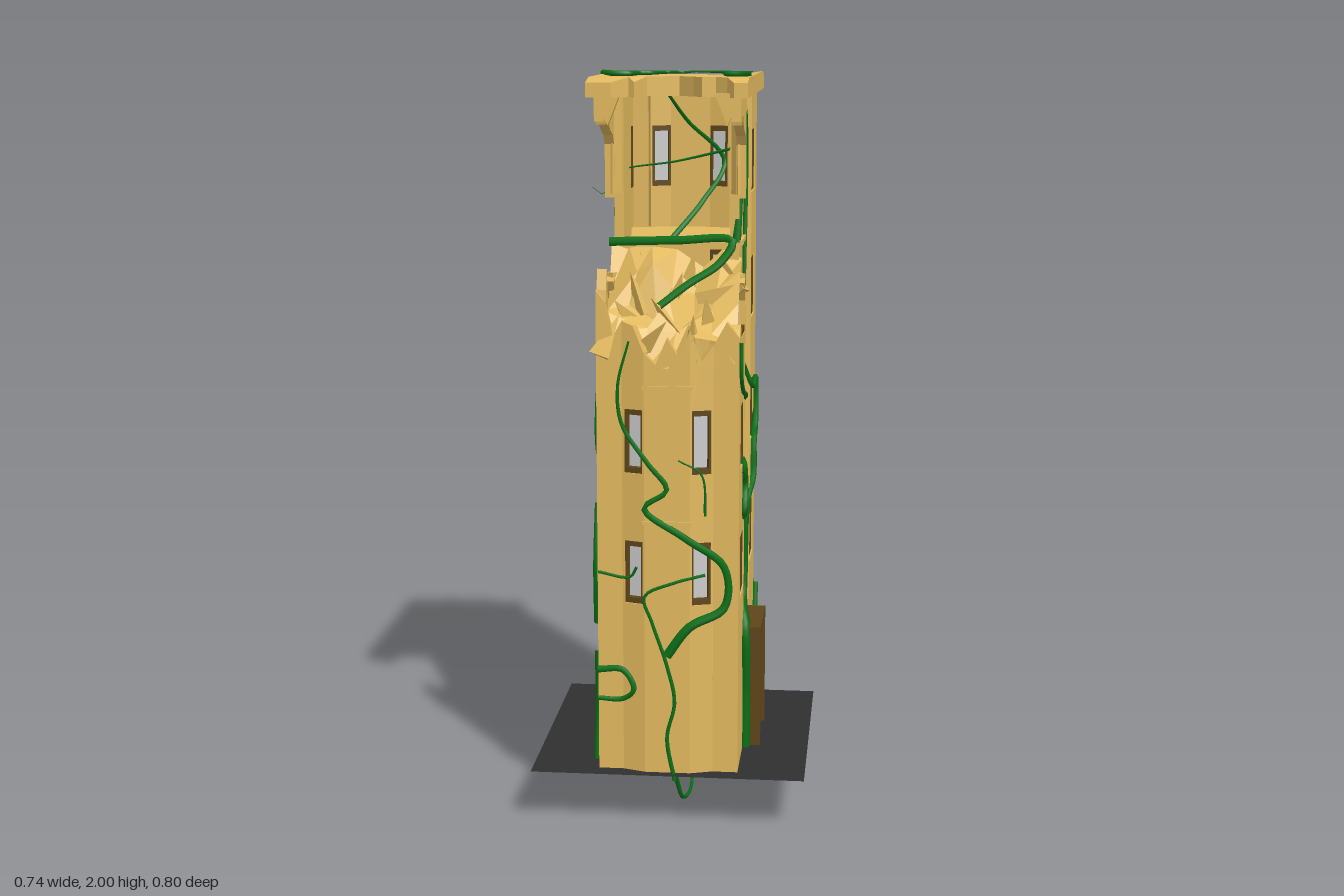
import * as THREE from 'three';

const mat = (color, extra = {}) => new THREE.MeshStandardMaterial({ color, ...extra });
const WALL = mat(0xe3ba5f, { flatShading: true, side: THREE.DoubleSide });
const FRAME = mat(0x5e4618, { flatShading: true });
const GLASS = mat(0xcccccc, { side: THREE.DoubleSide });
const VINE = mat(0x0d7018);
const GROUND = mat(0x303030, { side: THREE.DoubleSide });

const BASE = 0.15, TOP = 1.95, T = 0.025, CZ = 0.05;
const ROWS = [0.702, 1.055, 1.402, 1.752], WIN_H = 0.17;
const LEDGES = [0.84, 1.2, 1.55, 1.9];

// Seeded jitter in -1..1
let seed = 7;
const rnd = () => { seed = (seed * 16807) % 2147483647; return seed / 1073741823.5 - 1; };

function add(parent, geo, material, name) {
  const m = new THREE.Mesh(geo, material);
  m.name = name;
  parent.add(m);
  return m;
}
const shapeOf = pts => new THREE.Shape(pts.map(p => new THREE.Vector2(...p)));
const rect = (x, y, w, h) => [[x - w / 2, y - h / 2], [x + w / 2, y - h / 2], [x + w / 2, y + h / 2], [x - w / 2, y + h / 2]];
const extrude = (shape, depth) => new THREE.ExtrudeGeometry(shape, { depth, bevelEnabled: false });

// One flat wall between two footprint points, with window openings
function wall(parent, name, a, b, pieces, win) {
  const g = new THREE.Group();
  g.name = name;
  const dx = b[0] - a[0], dz = b[1] - a[1], L = Math.hypot(dx, dz);
  g.position.set(a[0], 0, a[1]);
  g.rotation.y = Math.atan2(-dz, dx);
  const rows = win ? ROWS.slice(0, win.rows) : [];
  (pieces || [rect(L / 2, (BASE + TOP) / 2, L, TOP - BASE)]).forEach((pts, i) => {
    const s = shapeOf(pts);
    if (i === 0) rows.forEach(y => s.holes.push(shapeOf(rect(win.u, y, win.w, WIN_H))));
    add(g, extrude(s, T).translate(0, 0, -T), WALL, 'wallPanel');
  });
  for (const y of rows) {
    const bw = win.w > 0.1 ? 0.036 : 0.012, s = shapeOf(rect(win.u, y, win.w, WIN_H));
    s.holes.push(shapeOf(rect(win.u, y, win.w - bw, WIN_H - 0.03)));
    add(g, extrude(s, T).translate(0, 0, -T - 0.004), FRAME, 'windowFrame');
    add(g, new THREE.PlaneGeometry(win.w, WIN_H).translate(win.u, y, -T + 0.004), GLASS, 'windowPane');
  }
  parent.add(g);
  return g;
}

// Surface positions for the climbing plants
const endZ = x => CZ + 0.325 + 0.02 * THREE.MathUtils.clamp((0.12 - Math.abs(x)) / 0.06, 0, 1);
const sideX = z => 0.192 - 0.02 * THREE.MathUtils.clamp((0.11 - Math.abs(z - CZ)) / 0.03, 0, 1);
const on = {
  front: ([x, y]) => [x, y, endZ(x)],
  back: ([x, y]) => [x, y, 2 * CZ - endZ(x)],
  left: ([z, y]) => [sideX(z), y, z],
  right: ([z, y]) => [-sideX(z), y, z],
  roof: ([x, z]) => [x, 1.992, z],
  free: p => p,
};

// Tube that thins from r0 to r1
function vine(parent, place, r0, r1, pts) {
  const curve = new THREE.CatmullRomCurve3(pts.map(p => new THREE.Vector3(...on[place](p))));
  const n = pts.length * 6, geo = new THREE.TubeGeometry(curve, n, 1, 6), p = geo.attributes.position;
  const v = new THREE.Vector3();
  for (let i = 0; i <= n; i++) {
    const c = curve.getPointAt(i / n), r = r0 + (r1 - r0) * i / n;
    for (let j = 0; j <= 6; j++) {
      v.fromBufferAttribute(p, i * 7 + j).sub(c).multiplyScalar(r).add(c);
      p.setXYZ(i * 7 + j, v.x, v.y, v.z);
    }
  }
  add(parent, geo, VINE, 'vine');
}

export function createModel() {
  const root = new THREE.Group();
  root.name = 'ruinedTower';
  seed = 7;

  // Ground sheet
  add(root, new THREE.PlaneGeometry(0.735, 0.737).rotateX(-Math.PI / 2).translate(0, BASE - 0.001, 0.047), GROUND, 'ground');

  // Footprint, counterclockwise from the front; the second half is the first turned round
  const half = [[-0.187, 0.37], [-0.12, 0.37], [-0.06, 0.39], [0.06, 0.39], [0.12, 0.37],
    [0.187, 0.37], [0.187, 0.16], [0.167, 0.13], [0.167, -0.03], [0.187, -0.06]];
  const foot = [...half, ...half.map(([x, z]) => [-x, 2 * CZ - z])];

  // Jagged tops of the broken front, and the broken side walls as [distance from front, height]
  const jag = (L, ...ys) => [[0, BASE], [L, BASE], ...ys.map((y, i) => [L * (1 - i / (ys.length - 1)), y])];
  const lowSide = h => [[0, BASE], [0.21, BASE], [0.21, 1.46], [0.17, 1.45], [0.2, 1.4], [0.2, 1.32], [0.07, 1.32],
    [0.06, 1.34 + h * 0.5], [0.04, 1.36 + h], [0.02, 1.35 + h * 0.7], [0, 1.33]];
  const highSide = [[0.21, TOP], [0, TOP], [0, 1.88], [0.02, 1.91], [0.03, 1.87], [0.07, 1.9], [0.09, 1.87], [0.13, 1.85],
    [0.18, 1.835], [0.2, 1.81], [0.2, 1.67], [0.21, 1.68]];
  const flip = (pts, L) => pts.map(([u, y]) => [L - u, y]);
  const corner = [[0, TOP], [0, 1.88], [0.02, 1.9], [0.035, 1.87], [0.067, TOP]];
  const splitReveal = L => [rect(L / 2, (BASE + 1.47) / 2, L, 1.47 - BASE), rect(L / 2, (1.68 + TOP) / 2, L, TOP - 1.68)];
  const broken = {
    0: [jag(0.067, 1.37, 1.33, 1.42, 1.45), corner],
    1: [jag(0.0632, 1.29, 1.36, 1.37)],
    2: [jag(0.12, 1.35, 1.28, 1.33, 1.26, 1.29)],
    3: [jag(0.0632, 1.31, 1.27, 1.35)],
    4: [jag(0.067, 1.33, 1.37, 1.31), flip(corner, 0.067)],
    5: [lowSide(0), highSide],
    6: splitReveal(0.036),
    18: splitReveal(0.036),
    19: [flip(lowSide(0.14), 0.21), flip(highSide, 0.21)],
  };
  const facet = rows => ({ u: 0.0316, w: 0.052, rows });
  const windows = { 1: facet(2), 3: facet(2), 11: facet(4), 13: facet(4),
    5: { u: 0.13, w: 0.145, rows: 2 }, 9: { u: 0.08, w: 0.145, rows: 4 },
    15: { u: 0.13, w: 0.145, rows: 4 }, 19: { u: 0.08, w: 0.145, rows: 2 } };
  foot.forEach((a, i) => wall(root, 'wall', a, foot[(i + 1) % 20], broken[i], windows[i]));

  // Thin floor ledges on the middle strips, leftover panes in the broken windows
  for (const y of LEDGES) {
    for (const s of [-1, 1]) add(root, new THREE.BoxGeometry(0.012, 0.012, 0.17).translate(s * 0.17, y, CZ), WALL, 'ledge');
    add(root, new THREE.BoxGeometry(0.13, 0.01, 0.01).translate(0, y, -0.29), WALL, 'ledge');
    if (y < 1.3) add(root, new THREE.BoxGeometry(0.13, 0.01, 0.01).translate(0, y, 0.39), WALL, 'ledge');
  }
  for (const s of [-1, 1]) {
    const shard = shapeOf([[-0.25, 1.32], [-0.165, 1.32], [-0.165, 1.41], [-0.2, 1.4]]);
    add(root, new THREE.ShapeGeometry(shard).rotateY(Math.PI / 2).translate(s * 0.17, 0, 0), GLASS, 'brokenPane');
    add(root, new THREE.BoxGeometry(0.025, 0.016, 0.14).translate(s * 0.173, 1.328, 0.24), FRAME, 'brokenSill');
  }

  // Inner floor exposed by the collapse
  add(root, new THREE.BoxGeometry(0.34, 0.02, 0.4).translate(0, 1.54, -0.07), WALL, 'upperFloor');

  // Collapsed rubble slope, rising from the front edge to the floor
  const rubble = new THREE.PlaneGeometry(0.35, 0.25, 6, 4), rp = rubble.attributes.position;
  for (let i = 0; i < rp.count; i++) {
    const v = (rp.getY(i) + 0.125) / 0.25, edge = Math.abs(rp.getX(i)) > 0.17 ? 0 : 1;
    rp.setXYZ(i, rp.getX(i) + edge * rnd() * 0.02, 1.29 + 0.22 * v + rnd() * 0.055, 0.375 - 0.25 * v + edge * rnd() * 0.025);
  }
  add(root, rubble.toNonIndexed(), WALL, 'rubble').geometry.computeVertexNormals();
  for (let i = 0; i < 12; i++) {
    const v = (i % 4) / 3, c = add(root, new THREE.ConeGeometry(0.035, 0.12, 3), WALL, 'shard');
    c.position.set(-0.15 + 0.027 * i, 1.33 + 0.14 * v, 0.36 - 0.2 * v);
    c.rotation.set(0.5 + rnd() * 0.5, rnd() * 3, rnd() * 0.9);
  }

  // Roof slab with a bite out of the front, its two ends sloping slightly down
  const roof = extrude(shapeOf([[-0.205, 0.395], [-0.14, 0.395], [-0.1, 0.35], [-0.085, 0.36], [-0.06, 0.29], [0.02, 0.255], [0.06, 0.295],
    [0.085, 0.33], [0.12, 0.325], [0.15, 0.35], [0.17, 0.395], [0.205, 0.395], [0.205, 0.335], [0.205, -0.24], [0.205, -0.295], [0.135, -0.295],
    [0.07, -0.319], [-0.07, -0.319], [-0.135, -0.295], [-0.205, -0.295], [-0.205, -0.24], [-0.205, 0.335]]), 0.05);
  roof.rotateX(Math.PI / 2).translate(0, 1.99, 0);
  const fp = roof.attributes.position;
  for (let i = 0; i < fp.count; i++)
    if (fp.getY(i) > 1.96 && Math.abs(fp.getZ(i) - CZ) > 0.3) fp.setY(i, 1.978);
  roof.computeVertexNormals();
  add(root, roof, WALL, 'roof');

  // Entrance on the left side: projecting surround and door
  const door = new THREE.Group();
  door.name = 'entrance';
  for (const z of [-0.051, 0.151]) add(door, new THREE.BoxGeometry(0.06, 0.34, 0.012).translate(0.205, 0.32, z), FRAME, 'doorJamb');
  add(door, new THREE.BoxGeometry(0.06, 0.018, 0.214).translate(0.205, 0.482, CZ), FRAME, 'doorLintel');
  add(door, new THREE.BoxGeometry(0.02, 0.325, 0.19).translate(0.195, 0.313, CZ), GLASS, 'door');
  root.add(door);

  // Climbing vines
  const vines = new THREE.Group();
  vines.name = 'vines';
  const grow = (...args) => vine(vines, ...args);
  grow('front', 0.006, 0.004, [[0.02, 0.13], [0.0, 0.25], [0.02, 0.35], [0, 0.45], [-0.04, 0.57], [-0.06, 0.64], [0.02, 0.68], [0.1, 0.7]]);
  grow('free', 0.007, 0.001, [[0.015, 0.15, 0.392], [0.02, 0.12, 0.35], [0.03, 0.05, 0.3], [0.04, 0.01, 0.15], [0.035, 0.03, 0], [0.03, 0.06, -0.2], [0.025, 0.08, -0.38]]);
  grow('front', 0.014, 0.003, [[0, 0.48], [0.06, 0.56], [0.15, 0.61], [0.15, 0.72], [0.05, 0.8], [-0.06, 0.88], [0, 0.93], [-0.05, 1], [-0.12, 1.1], [-0.13, 1.2], [-0.1, 1.32]]);
  grow('front', 0.004, 0.002, [[0.1, 0.86], [0.09, 0.97], [0.03, 1.01]]);
  grow('front', 0.009, 0.006, [[-0.188, 0.43], [-0.12, 0.43], [-0.09, 0.38], [-0.12, 0.35], [-0.188, 0.35]]);
  grow('front', 0.004, 0.004, [[-0.185, 0.7], [-0.1, 0.69], [-0.08, 0.72]]);
  grow('left', 0.016, 0.005, [[0.165, 0.15], [0.17, 0.3], [0.19, 0.5], [0.12, 0.57], [0.06, 0.63], [0.11, 0.72], [0.13, 0.79], [0.24, 0.84], [0.22, 0.91],
    [0.24, 0.96], [0.1, 0.98], [0.09, 1.1], [0.2, 1.15], [0.3, 1.18], [0.37, 1.23], [0.38, 1.32]]);
  grow('left', 0.016, 0.004, [[0.17, 0.5], [0, 0.53], [-0.03, 0.6], [-0.04, 0.8], [-0.1, 0.86], [-0.13, 0.96], [-0.2, 0.99], [-0.22, 1.12], [-0.06, 1.13],
    [-0.03, 1.19], [0.1, 1.24], [0.07, 1.33], [0.06, 1.4]]);
  grow('left', 0.01, 0.004, [[0.11, 1.9], [0.04, 1.89], [-0.02, 1.8], [-0.03, 1.65], [-0.01, 1.5], [0.01, 1.3]]);
  grow('left', 0.007, 0.009, [[-0.2, 0.16], [-0.21, 0.3], [-0.25, 0.43], [-0.272, 0.5]]);
  grow('back', 0.011, 0.006, [[0.19, 0.5], [0.12, 0.49], [0, 0.5], [-0.12, 0.49], [-0.18, 0.55], [-0.18, 0.66], [-0.13, 0.72]]);
  grow('back', 0.003, 0.003, [[0.15, 0.92], [0.06, 0.87], [0, 0.9], [-0.08, 0.87]]);
  grow('back', 0.006, 0.003, [[0.14, 1.42], [0.08, 1.38], [0.05, 1.45], [0.11, 1.5]]);
  grow('back', 0.009, 0.007, [[-0.14, 1.58], [-0.145, 1.72]]);
  grow('right', 0.014, 0.004, [[0, 0.15], [0.02, 0.35], [0, 0.6], [-0.01, 0.85], [-0.04, 1.05], [0.03, 1.25], [0, 1.45], [0.06, 1.6], [0.03, 1.8]]);
  grow('right', 0.009, 0.004, [[0.01, 0.3], [0.08, 0.5], [0.14, 0.65], [0.16, 0.9], [0.25, 0.95], [0.33, 1.05], [0.3, 1.18], [0.2, 1.17]]);
  grow('right', 0.01, 0.006, [[-0.03, 0.93], [-0.15, 0.95], [-0.21, 0.99], [-0.22, 1.12], [-0.12, 1.15]]);
  grow('right', 0.012, 0.006, [[0.35, 0.17], [0.33, 0.32], [0.36, 0.48]]);
  grow('right', 0.01, 0.005, [[0.34, 0.55], [0.365, 0.72], [0.34, 0.88]]);
  grow('free', 0.013, 0.01, [[-0.18, 1.55, 0.14], [0, 1.555, 0.14], [0.15, 1.555, 0.14], [0.12, 1.5, 0.17], [0.04, 1.45, 0.24], [-0.03, 1.4, 0.31]]);
  grow('free', 0.009, 0.004, [[-0.02, 1.55, 0.13], [0.06, 1.65, 0.0], [0.11, 1.75, -0.1], [0.02, 1.86, 0], [-0.02, 1.94, 0.15]]);
  grow('free', 0.012, 0.007, [[0.16, 1.55, 0.13], [0.165, 1.7, 0.11], [0.16, 1.82, 0.12], [0.165, 1.94, 0.14]]);
  grow('free', 0.004, 0.001, [[0.16, 1.8, 0.1], [0, 1.76, 0.05], [-0.19, 1.72, 0], [-0.22, 1.66, -0.04], [-0.25, 1.68, -0.04]]);
  grow('roof', 0.009, 0.001, [[-0.205, 0.06], [-0.18, 0.1], [-0.13, 0.1], [-0.11, 0.04], [-0.08, 0.03], [-0.04, -0.03], [0, -0.02], [0.03, -0.1], [0.07, -0.155]]);
  grow('roof', 0.01, 0.001, [[0.208, 0.19], [0.18, 0.14], [0.13, 0.12], [0.145, 0.05], [0.13, -0.01], [0.11, -0.05], [0, -0.1]]);
  root.add(vines);

  return root;
}
